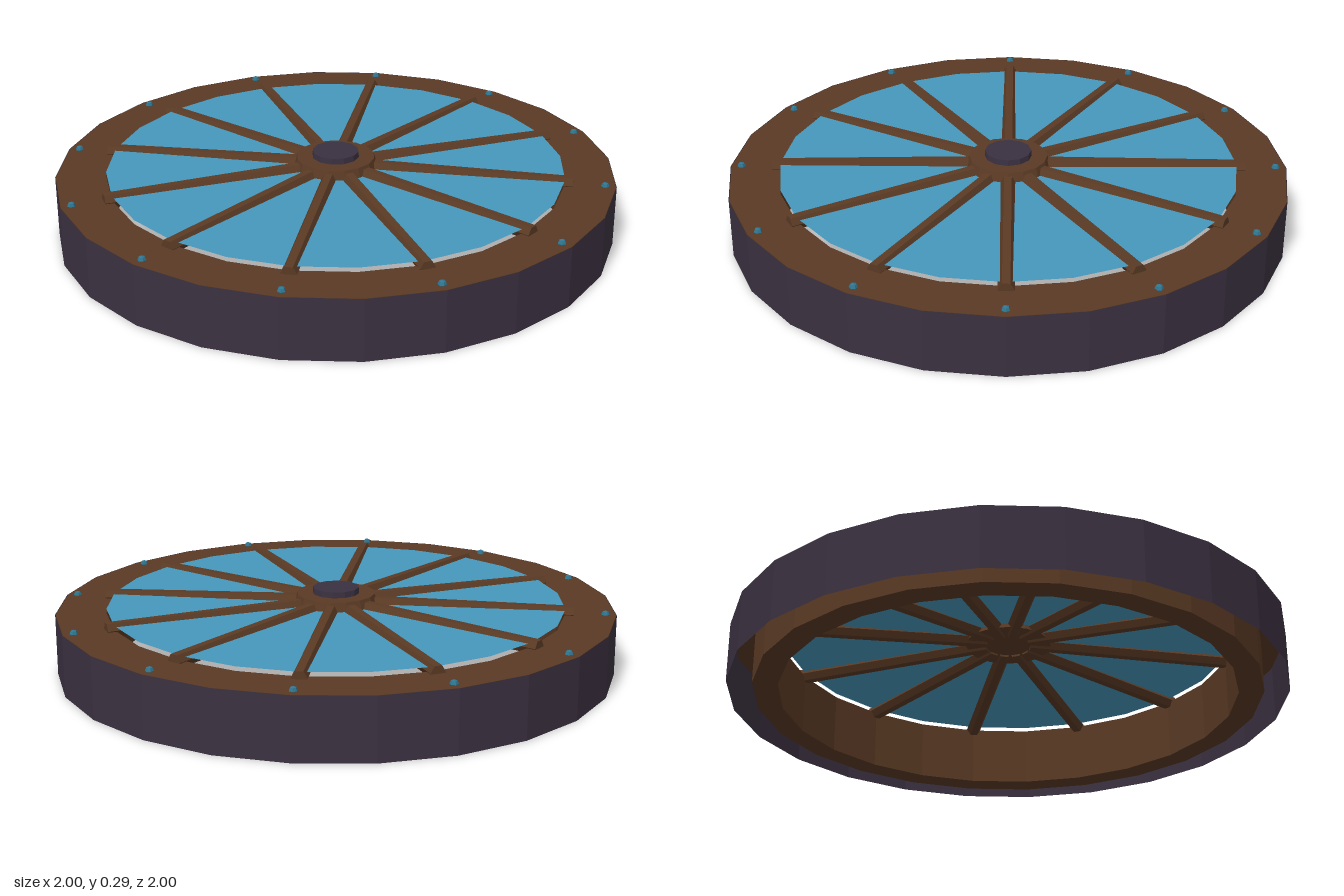
import * as THREE from 'three';

const SIDES = 24;
const SPOKES = 12;

const mat = (name, color) => {
  const m = new THREE.MeshStandardMaterial({ color });
  m.name = name;
  return m;
};

// faceted normals for the low-poly look
const facet = (geometry) => {
  const g = geometry.index ? geometry.toNonIndexed() : geometry;
  g.computeVertexNormals();
  return g;
};

export function createModel() {
  const model = new THREE.Group();
  model.name = 'wheelWindow';

  const wood = mat('brown wood', 0x5a3a24);
  const iron = mat('dark purple iron', 0x3b3141);
  const glass = mat('blue glass', 0x4698bd);
  const studMetal = mat('teal stud', 0x2f7590);
  iron.side = glass.side = THREE.DoubleSide;

  const add = (name, geometry, material, parent = model) => {
    const mesh = new THREE.Mesh(facet(geometry), material);
    mesh.name = name;
    parent.add(mesh);
    return mesh;
  };

  // outer band, open at top and bottom
  add('outerBand', new THREE.CylinderGeometry(1, 1, 0.22, SIDES, 1, true), iron)
    .position.y = 0.11;

  // wooden rim: deep inner ring with a flange reaching out to the band
  const rimProfile = [
    [0.82, 0], [0.91, 0], [0.91, 0.205], [0.998, 0.205],
    [0.998, 0.22], [0.82, 0.22], [0.82, 0],
  ].map(([r, y]) => new THREE.Vector2(r, y));
  add('rim', new THREE.LatheGeometry(rimProfile, SIDES), wood);

  // pane floating just above the rim
  const pane = add('pane', new THREE.CircleGeometry(0.82, SIDES), glass);
  pane.rotation.x = -Math.PI / 2;
  pane.position.y = 0.235;

  // hub and its cap
  add('hub', new THREE.CylinderGeometry(0.14, 0.155, 0.05, 16), wood).position.y = 0.243;
  add('hubCap', new THREE.CylinderGeometry(0.083, 0.085, 0.03, 12), iron).position.y = 0.274;

  // spokes rise slightly towards the hub; a stud sits on the rim beyond each
  const inner = new THREE.Vector3(0.08, 0.234, 0);
  const outer = new THREE.Vector3(0.848, 0.223, 0);
  const along = outer.clone().sub(inner);
  for (let i = 0; i < SPOKES; i++) {
    const arm = new THREE.Group();
    arm.name = 'arm' + (i + 1);
    arm.rotation.y = (i / SPOKES) * Math.PI * 2;
    model.add(arm);

    const spoke = add('spoke', new THREE.CylinderGeometry(0.027, 0.027, along.length(), 6), wood, arm);
    spoke.position.copy(inner).add(outer).multiplyScalar(0.5);
    spoke.rotation.z = Math.atan2(along.y, along.x) - Math.PI / 2;

    add('stud', new THREE.SphereGeometry(0.015, 6, 4), studMetal, arm)
      .position.set(0.96, 0.222, 0);
  }
  return model;
}
